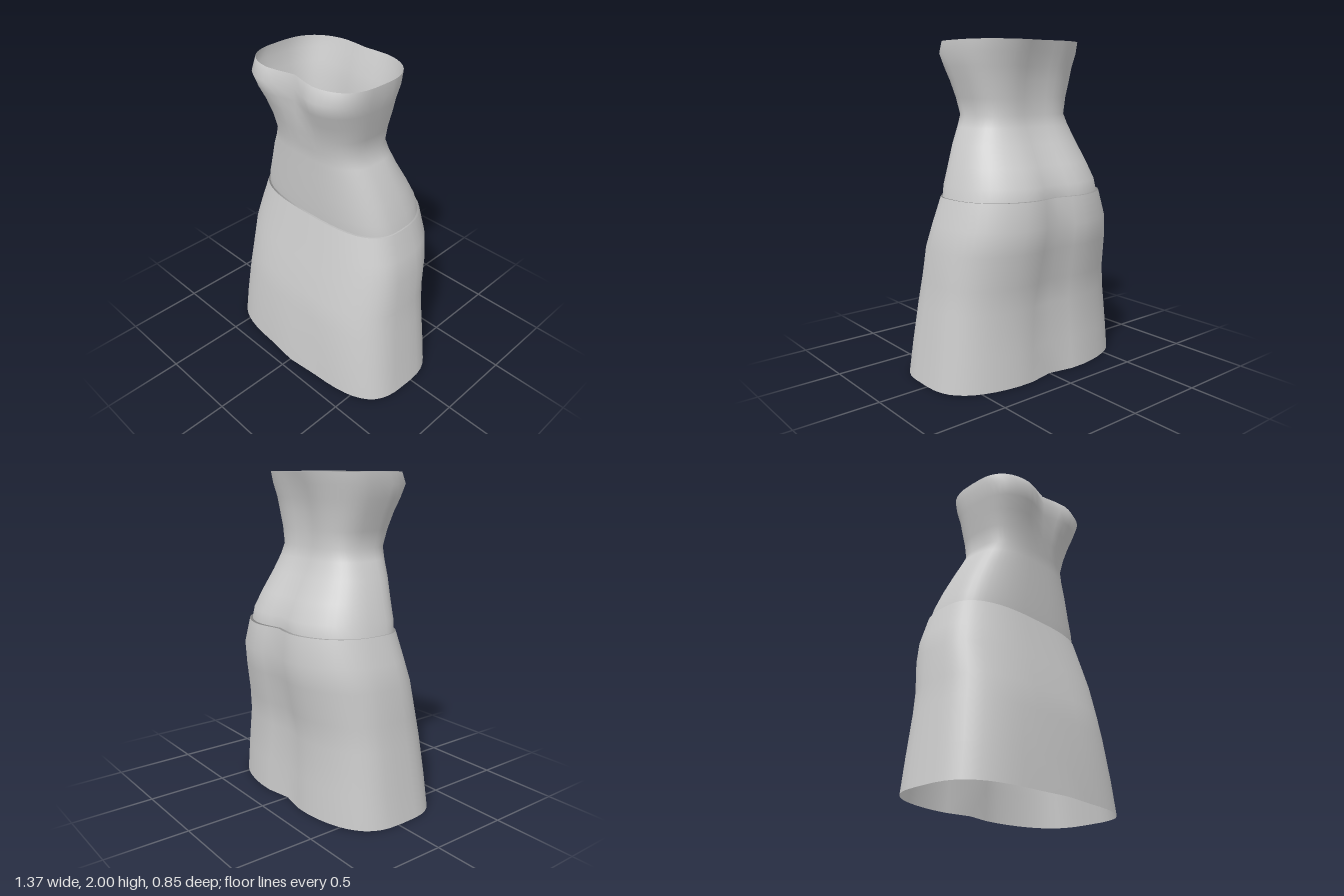
import * as THREE from 'three';

const SEGMENTS = 48;

// Each ring: [y, half width, z of widest point, front z, back z,
//             front squareness, back squareness, front centre dip, back centre dip]
const BODICE = [
  [2.0, 0.41, 0.05, 0.355, -0.255, 3.2, 2.7, 0.05, 0.022],
  [1.93, 0.41, 0.06, 0.392, -0.238, 3.2, 2.7, 0.075, 0.03],
  [1.85, 0.39, 0.06, 0.37, -0.215, 3.0, 2.7, 0.06, 0.03],
  [1.77, 0.37, 0.05, 0.332, -0.198, 2.9, 2.8, 0.025, 0.03],
  [1.67, 0.342, 0.05, 0.295, -0.185, 2.9, 2.9, 0, 0.025],
  [1.57, 0.32, 0.04, 0.272, -0.18, 3.0, 3.0, 0, 0.02],
  [1.5, 0.357, 0.03, 0.265, -0.2, 2.8, 2.7, 0, 0.025],
  [1.4, 0.408, 0.02, 0.26, -0.25, 2.7, 2.5, 0, 0.03],
  [1.28, 0.455, 0, 0.252, -0.32, 2.7, 2.5, 0, 0.035],
  [1.17, 0.492, -0.01, 0.245, -0.38, 2.8, 2.5, 0, 0.04],
  [1.1, 0.508, -0.02, 0.238, -0.388, 2.8, 2.5, 0, 0.045],
];

const SKIRT = [
  [1.1, 0.517, -0.02, 0.25, -0.408, 2.8, 2.5, 0, 0.045],
  [0.94, 0.567, -0.02, 0.285, -0.43, 2.9, 2.5, 0, 0.045],
  [0.8, 0.6, -0.01, 0.316, -0.405, 3.0, 2.5, 0, 0.045],
  [0.6, 0.61, 0, 0.362, -0.365, 3.1, 2.6, 0, 0.045],
  [0.45, 0.63, 0, 0.383, -0.338, 3.2, 2.7, 0, 0.04],
  [0.2, 0.66, 0.01, 0.402, -0.345, 3.4, 2.8, -0.01, 0.04],
  [0, 0.685, 0.02, 0.41, -0.352, 3.5, 2.8, -0.02, 0.04],
];

// Rounded-square ring point, with a dip down the centre of the front or back
function ringPoint([y, w, cz, zF, zB, eF, eB, dipF, dipB], angle) {
  const c = Math.cos(angle), s = Math.sin(angle);
  const front = s >= 0;
  const power = 2 / (front ? eF : eB);
  const x = w * Math.sign(c) * Math.abs(c) ** power;
  const reach = Math.abs(s) ** power;
  const dip = Math.exp(-((x / 0.12) ** 2));
  const z = front
    ? cz + (zF - cz) * reach - dipF * dip
    : cz + (zB - cz) * reach + dipB * dip;
  return [x, y, z];
}

// Skins a stack of rings, top to bottom, leaving both ends open
function loft(rings) {
  const positions = [], index = [];
  rings.forEach((ring, i) => {
    for (let j = 0; j < SEGMENTS; j++) {
      positions.push(...ringPoint(ring, (j / SEGMENTS) * Math.PI * 2));
      if (i === rings.length - 1) continue;
      const next = (j + 1) % SEGMENTS;
      const a = i * SEGMENTS + j, b = i * SEGMENTS + next;
      const c = a + SEGMENTS, d = b + SEGMENTS;
      index.push(a, b, c, b, d, c);
    }
  });
  const geometry = new THREE.BufferGeometry();
  geometry.setAttribute('position', new THREE.Float32BufferAttribute(positions, 3));
  geometry.setIndex(index);
  geometry.computeVertexNormals();
  return geometry;
}

export function createModel() {
  const fabric = new THREE.MeshStandardMaterial({ color: 0xcccccc, side: THREE.DoubleSide });
  fabric.name = 'grey fabric';

  const dress = new THREE.Group();
  dress.name = 'dress';
  for (const [name, rings] of [['bodice', BODICE], ['skirt', SKIRT]]) {
    const mesh = new THREE.Mesh(loft(rings), fabric);
    mesh.name = name;
    dress.add(mesh);
  }
  return dress;
}
